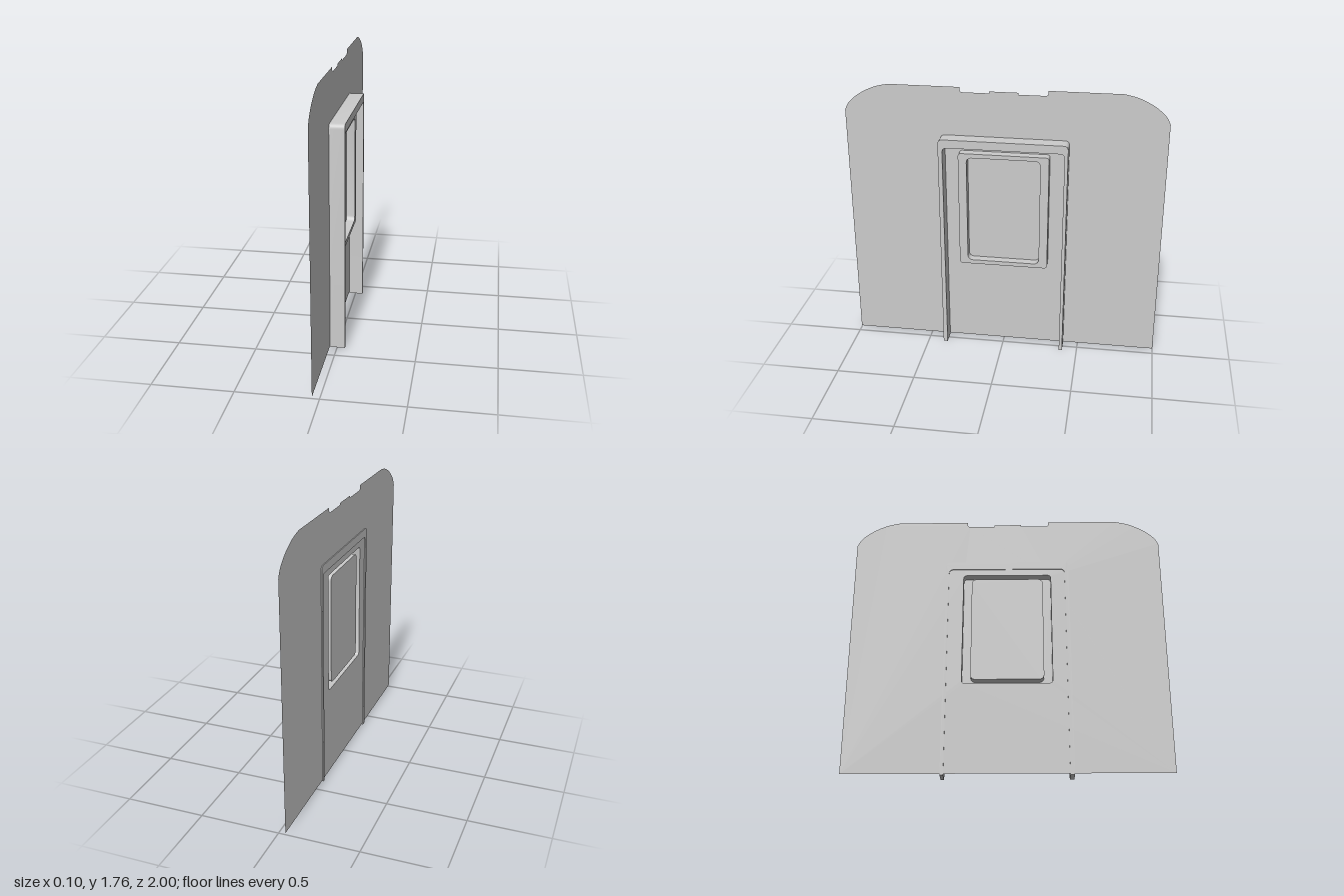
import * as THREE from 'three';
import { toCreasedNormals } from 'three/addons/utils/BufferGeometryUtils.js';

const WALL_X = -0.044, BEAD_X = 0.015;
const material = new THREE.MeshStandardMaterial({ color: 0xcccccc, side: THREE.DoubleSide });

// Profiles are drawn with u = -z and v = y, then turned to face +x.
function place(geometry, name, x) {
  const mesh = new THREE.Mesh(geometry, material);
  mesh.name = name;
  mesh.rotation.y = Math.PI / 2;
  mesh.position.x = x;
  return mesh;
}

// Rounded rectangle; the same point count for every size
function roundedRect(u0, v0, u1, v1, r) {
  const points = [];
  const corners = [[u1 - r, v0 + r], [u1 - r, v1 - r], [u0 + r, v1 - r], [u0 + r, v0 + r]];
  corners.forEach(([cu, cv], i) => {
    for (let k = 0; k <= 5; k++) {
      const a = (i - 1 + k / 5) * Math.PI / 2;
      points.push(new THREE.Vector2(cu + r * Math.cos(a), cv + r * Math.sin(a)));
    }
  });
  return points;
}

// Inverted U outline: post feet at the ground, rounded top corners
function archPath(path, u0, u1, top, r, reverse) {
  const [a, b] = reverse ? [u1, u0] : [u0, u1];
  const s = Math.sign(b - a);
  path.lineTo(a, 0);
  path.lineTo(a, top - r);
  path.quadraticCurveTo(a, top, a + s * r, top);
  path.lineTo(b - s * r, top);
  path.quadraticCurveTo(b, top, b, top - r);
  path.lineTo(b, 0);
}

// Surface through a series of closed loops
function loft(loops) {
  const n = loops[0].points.length, positions = [], index = [];
  loops.forEach(({ points, depth }) => points.forEach(p => positions.push(p.x, p.y, depth)));
  for (let j = 0; j < loops.length - 1; j++) {
    for (let i = 0; i < n; i++) {
      const a = j * n + i, b = j * n + (i + 1) % n;
      index.push(a, b, b + n, a, b + n, a + n);
    }
  }
  const geometry = new THREE.BufferGeometry();
  geometry.setAttribute('position', new THREE.Float32BufferAttribute(positions, 3));
  geometry.setIndex(index);
  return toCreasedNormals(geometry, 0.6);
}

export function createModel() {
  const group = new THREE.Group();
  group.name = 'endWall';

  const outer = roundedRect(-0.281, 0.59, 0.287, 1.351, 0.018);
  const inner = roundedRect(-0.228, 0.617, 0.233, 1.324, 0.03);

  // Thin wall sheet with curved shoulders and a stepped notch on top
  const shoulder = [[1, 1.58], [0.972, 1.631], [0.903, 1.689], [0.81, 1.735], [0.72, 1.757]];
  const wall = new THREE.Shape();
  wall.moveTo(-1, 0.01);
  wall.lineTo(1, 0.01);
  wall.lineTo(1, 1.58);
  wall.splineThru(shoulder.slice(1).map(([u, v]) => new THREE.Vector2(u, v)));
  wall.lineTo(0.268, 1.757);
  wall.lineTo(0.268, 1.74);
  wall.quadraticCurveTo(0.266, 1.725, 0.25, 1.725);
  [[0.087, 1.725], [0.087, 1.737], [-0.091, 1.737], [-0.091, 1.725], [-0.255, 1.725]]
    .forEach(([u, v]) => wall.lineTo(u, v));
  wall.quadraticCurveTo(-0.27, 1.725, -0.272, 1.74);
  wall.lineTo(-0.272, 1.757);
  wall.lineTo(-0.72, 1.757);
  wall.splineThru(shoulder.slice(0, -1).reverse().map(([u, v]) => new THREE.Vector2(-u, v)));
  wall.lineTo(-1, 0.01);
  wall.holes.push(new THREE.Path(outer));
  group.add(place(new THREE.ShapeGeometry(wall, 8), 'wall', WALL_X));

  // Raised hollow bead around the window
  group.add(place(loft([
    { points: outer, depth: WALL_X },
    { points: outer, depth: BEAD_X },
    { points: inner, depth: BEAD_X },
    { points: inner, depth: WALL_X + 0.004 },
  ]), 'windowSurround', 0));
  group.add(place(new THREE.ShapeGeometry(new THREE.Shape(inner)), 'windowPane', WALL_X + 0.004));

  // Solid door frame: two posts joined by a header
  const frame = new THREE.Shape();
  frame.moveTo(-0.399, 0);
  archPath(frame, -0.399, 0.404, 1.447, 0.03, false);
  archPath(frame, -0.372, 0.383, 1.394, 0.03, true);
  frame.lineTo(-0.399, 0);
  const frameGeometry = new THREE.ExtrudeGeometry(frame, { depth: 0.1, bevelEnabled: false, curveSegments: 6 });
  group.add(place(toCreasedNormals(frameGeometry, 0.6), 'doorFrame', -0.05));

  return group;
}
